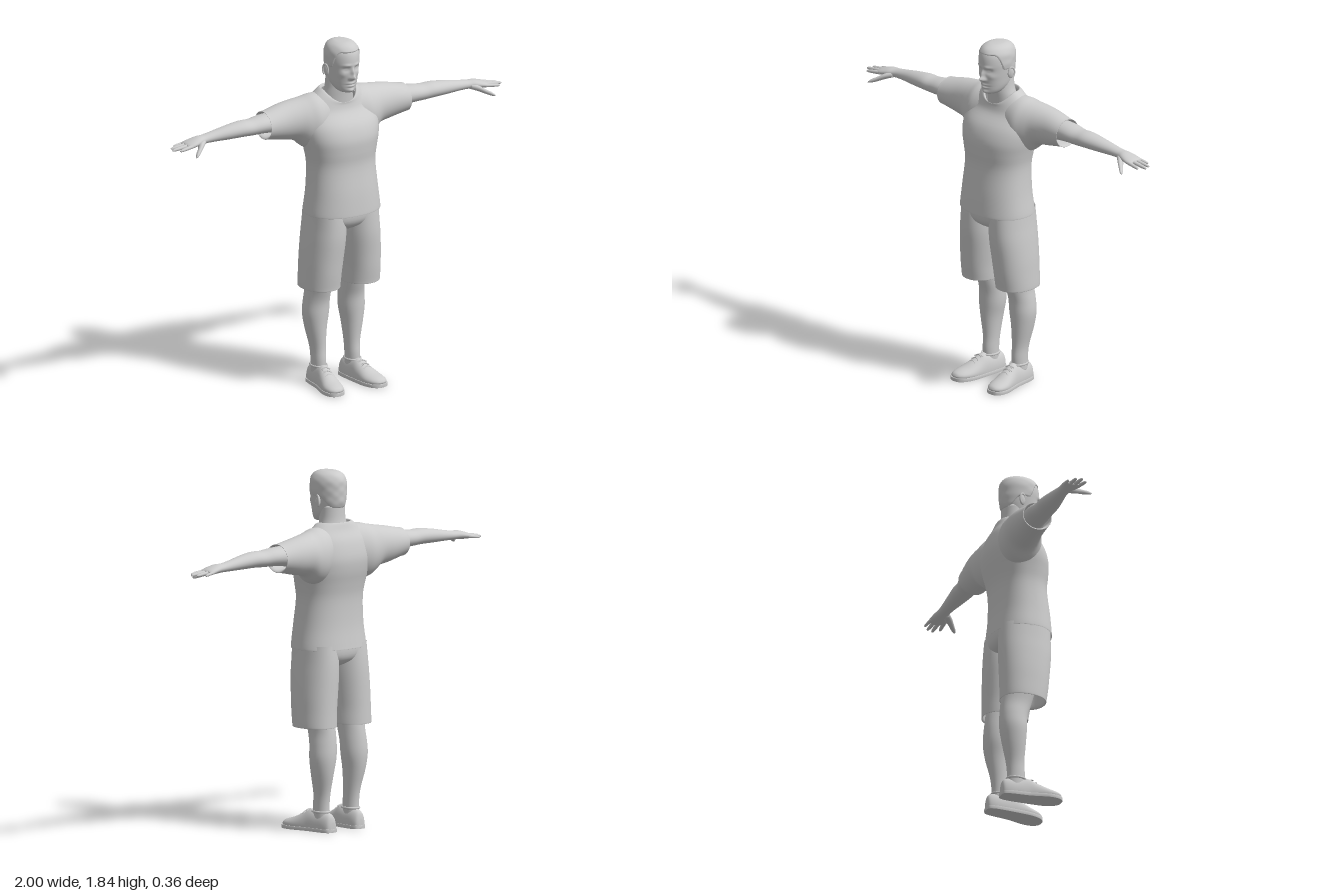
import * as THREE from 'three';

const skin = new THREE.MeshStandardMaterial({ color: 0xcccccc });
const cloth = new THREE.MeshStandardMaterial({ color: 0xcccccc, side: THREE.DoubleSide });

// Component order (a, b, along) of a section for each loft axis
const AXES = { x: [2, 1, 0], y: [0, 2, 1], z: [1, 0, 2] };

function spline(rows, i, f, k) {
  const at = (n) => rows[Math.min(Math.max(n, 0), rows.length - 1)][k] ?? 0;
  const [p, q, r, s] = [at(i - 1), at(i), at(i + 1), at(i + 2)];
  return q + 0.5 * f * (r - p + f * (2 * p - 5 * q + 4 * r - s + f * (3 * (q - r) + s - p)));
}

// Smooth skin over sections [along, centreA, centreB, radiusA, radiusB, frontDrop]
function loft(axis, rows, { seg = 32, sub = 4, n = 2, caps = true, move } = {}) {
  const [A, B, T] = AXES[axis], pos = [], idx = [];
  const steps = (rows.length - 1) * sub;
  const sharp = (v) => Math.sign(v) * Math.abs(v) ** (2 / n);
  for (let k = 0; k <= steps; k++) {
    const i = Math.min(Math.floor(k / sub), rows.length - 2), f = k / sub - i;
    const [t, ca, cb, ra, rb, drop] = [0, 1, 2, 3, 4, 5].map((c) => spline(rows, i, f, c));
    for (let j = 0; j < seg; j++) {
      const u = (j / seg) * Math.PI * 2, p = [0, 0, 0];
      p[A] = ca + ra * sharp(Math.cos(u));
      p[B] = cb + rb * sharp(Math.sin(u));
      p[T] = t - drop * Math.max(0, Math.sin(u)) ** 1.5;
      pos.push(...p);
      if (k < steps) {
        const a = k * seg + j, c = k * seg + ((j + 1) % seg);
        idx.push(a, a + seg, c, c, a + seg, c + seg);
      }
    }
  }
  if (caps) {
    for (const [row, base] of [[rows[0], 0], [rows[rows.length - 1], steps * seg]]) {
      const p = [0, 0, 0], centre = pos.length / 3;
      p[A] = row[1]; p[B] = row[2]; p[T] = row[0];
      pos.push(...p);
      for (let j = 0; j < seg; j++) {
        const a = base + j, c = base + ((j + 1) % seg);
        idx.push(centre, base ? c : a, base ? a : c);
      }
    }
  }
  const g = new THREE.BufferGeometry();
  g.setAttribute('position', new THREE.Float32BufferAttribute(pos, 3));
  g.setIndex(idx);
  if (move) {
    const v = new THREE.Vector3(), at = g.attributes.position;
    for (let i = 0; i < at.count; i++) {
      move(v.fromBufferAttribute(at, i));
      at.setXYZ(i, v.x, v.y, v.z);
    }
  }
  g.computeVertexNormals();
  return g;
}

function mirrored(g) {
  const m = g.clone(), ix = m.index.array;
  const p = m.attributes.position, nn = m.attributes.normal;
  for (let i = 0; i < p.count; i++) { p.setX(i, -p.getX(i)); nn.setX(i, -nn.getX(i)); }
  for (let i = 0; i < ix.length; i += 3) [ix[i], ix[i + 1]] = [ix[i + 1], ix[i]];
  return m;
}

function add(group, name, g, mat = skin) {
  const mesh = new THREE.Mesh(g, mat);
  mesh.name = name;
  group.add(mesh);
}
function addPair(group, name, g, mat) {
  add(group, 'left' + name, g, mat);
  add(group, 'right' + name, mirrored(g), mat);
}

const smooth = THREE.MathUtils.smoothstep;
const clampY = (lo, hi) => (v) => { v.y = THREE.MathUtils.clamp(v.y, lo, hi); };
const tube = (pts, r, n = 16) =>
  new THREE.TubeGeometry(new THREE.CatmullRomCurve3(pts.map((p) => new THREE.Vector3(...p))), n, r, 6);

function buildHead(group) {
  const rows = [
    [1.58, 0, 0.045, 0.022, 0.03], [1.586, 0, 0.038, 0.04, 0.047], [1.603, 0, 0.026, 0.056, 0.064],
    [1.63, 0, 0.01, 0.068, 0.084], [1.67, 0, 0.003, 0.075, 0.098], [1.71, 0, 0.002, 0.08, 0.102],
    [1.75, 0, 0.003, 0.083, 0.104], [1.79, 0, 0.001, 0.08, 0.1], [1.82, 0, 0, 0.065, 0.083],
    [1.836, 0, 0, 0.04, 0.052], [1.84, 0, 0, 0.012, 0.015]];
  // Facial relief: [x, y, height, spreadX, spreadY]
  const relief = [
    [0, 1.668, 0.027, 0.012, 0.011], [0, 1.692, 0.015, 0.009, 0.024], [0.013, 1.663, 0.009, 0.007, 0.007],
    [0.031, 1.712, -0.011, 0.016, 0.011], [0.031, 1.711, 0.006, 0.011, 0.006], [0.029, 1.733, 0.006, 0.02, 0.007],
    [0, 1.634, 0.008, 0.022, 0.005], [0, 1.619, 0.008, 0.018, 0.005], [0, 1.6265, -0.004, 0.024, 0.003],
    [0, 1.595, 0.009, 0.02, 0.011], [0.048, 1.682, 0.004, 0.016, 0.014]];
  const bump = (v, [x, y, h, sx, sy]) => h * Math.exp(-(((v.x - x) / sx) ** 2) - ((v.y - y) / sy) ** 2);
  add(group, 'head', loft('y', rows, { seg: 128, sub: 8, move: (v) => {
    if (v.z < 0.02) return;
    let d = 0;
    for (const r of relief) {
      d += bump(v, r);
      if (r[0]) d += bump(v, [-r[0], ...r.slice(1)]);
    }
    v.z += d;
  } }));
  // Short hair: outside the skull above the hairline, tucked inside below it
  add(group, 'hair', loft('y', rows, { seg: 128, sub: 8, move: (v) => {
    const line = 1.645 + 0.06 * smooth(v.z, -0.08, -0.02) + 0.085 * smooth(v.z, 0.025, 0.075);
    const out = smooth(v.y, line, line + 0.008);
    const s = 0.84 + out * (0.2 + 0.008 * Math.sin(90 * v.x + 50 * v.z) * Math.sin(120 * v.y));
    v.x *= s; v.z *= s; v.y += 0.004 * out;
  } }));
  const ear = new THREE.SphereGeometry(1, 20, 14).scale(0.009, 0.031, 0.018).rotateY(-0.35).translate(0.083, 1.692, -0.014);
  addPair(group, 'Ear', ear);
  const rim = new THREE.TorusGeometry(0.017, 0.004, 8, 24, 4.6).rotateZ(-1.2).rotateY(Math.PI / 2)
    .scale(1, 1.6, 1).rotateY(-0.35).translate(0.089, 1.694, -0.014);
  addPair(group, 'EarRim', rim);
  add(group, 'neck', loft('y', [
    [1.47, 0, -0.045, 0.09, 0.065], [1.55, 0, -0.037, 0.082, 0.065],
    [1.6, 0, -0.03, 0.071, 0.063], [1.67, 0, -0.03, 0.066, 0.06]]));
}

function buildShirt(group) {
  add(group, 'shirtBody', loft('y', [
    [0.965, 0, 0, 0.198, 0.148], [0.937, 0, -0.002, 0.206, 0.157], [0.96, 0, -0.001, 0.205, 0.156],
    [1.06, 0, 0, 0.192, 0.147], [1.19, 0, -0.008, 0.184, 0.139], [1.27, 0, -0.012, 0.195, 0.148],
    [1.34, 0, -0.02, 0.21, 0.156], [1.41, 0, -0.035, 0.214, 0.146], [1.49, 0, -0.05, 0.188, 0.112, 0.02],
    [1.545, 0, -0.042, 0.148, 0.09, 0.04], [1.585, 0, -0.034, 0.099, 0.081, 0.065],
    [1.572, 0, -0.034, 0.088, 0.071, 0.062]], { seg: 64, n: 2.25, caps: false }), cloth);
  addPair(group, 'Sleeve', loft('x', [
    [0.08, -0.05, 1.43, 0.1, 0.135], [0.15, -0.056, 1.42, 0.115, 0.144], [0.2, -0.065, 1.421, 0.108, 0.132],
    [0.25, -0.075, 1.437, 0.097, 0.107], [0.32, -0.08, 1.438, 0.088, 0.094], [0.41, -0.075, 1.438, 0.08, 0.075],
    [0.427, -0.075, 1.438, 0.079, 0.073], [0.412, -0.075, 1.44, 0.07, 0.064], [0.36, -0.075, 1.443, 0.066, 0.06]],
  { seg: 40, caps: false }), cloth);
}

function buildArms(group) {
  addPair(group, 'Arm', loft('x', [
    [0.35, -0.075, 1.447, 0.062, 0.055], [0.45, -0.072, 1.45, 0.064, 0.047], [0.52, -0.068, 1.447, 0.056, 0.042],
    [0.58, -0.067, 1.449, 0.055, 0.041], [0.66, -0.07, 1.444, 0.045, 0.036], [0.74, -0.075, 1.437, 0.035, 0.028],
    [0.8, -0.076, 1.432, 0.032, 0.023], [0.84, -0.072, 1.43, 0.04, 0.023], [0.88, -0.071, 1.424, 0.047, 0.019],
    [0.905, -0.073, 1.42, 0.045, 0.014], [0.915, -0.074, 1.419, 0.036, 0.008]]));
  // Fingers: [root z, tip z, tip x, radius]
  const fingers = [[-0.036, -0.028, 0.972, 0.0105], [-0.061, -0.059, 1, 0.011], [-0.085, -0.089, 0.99, 0.0105], [-0.108, -0.118, 0.955, 0.009]];
  fingers.forEach(([z0, z1, tip, r], i) => {
    const rows = [0, 0.35, 0.7, 0.93, 1].map((f, k) => {
      const w = r * [1.1, 1, 0.9, 0.65, 0.2][k];
      return [0.88 + (tip - 0.88) * f, z0 + (z1 - z0) * f, 1.422 - 0.012 * f, w, w * 0.9];
    });
    addPair(group, 'Finger' + (i + 1), loft('x', rows, { seg: 12 }));
  });
  addPair(group, 'Thumb', loft('x', [
    [0.805, -0.06, 1.426, 0.018, 0.014], [0.84, -0.035, 1.416, 0.023, 0.016], [0.87, -0.006, 1.4, 0.016, 0.013],
    [0.895, 0.015, 1.388, 0.013, 0.01], [0.908, 0.026, 1.381, 0.005, 0.004]], { seg: 14 }));
}

function buildShorts(group) {
  add(group, 'shortsSeat', loft('y', [
    [0.84, 0, -0.01, 0.05, 0.06], [0.87, 0, -0.01, 0.14, 0.115], [0.91, 0, -0.009, 0.19, 0.138],
    [0.98, 0, -0.008, 0.192, 0.14]], { seg: 48, n: 2.25 }), cloth);
  addPair(group, 'ShortsLeg', loft('y', [
    [0.62, 0.118, -0.026, 0.085, 0.106], [0.555, 0.12, -0.027, 0.09, 0.111], [0.538, 0.12, -0.027, 0.099, 0.12],
    [0.555, 0.12, -0.026, 0.101, 0.122], [0.62, 0.118, -0.021, 0.101, 0.127], [0.7, 0.113, -0.017, 0.103, 0.132],
    [0.8, 0.105, -0.012, 0.103, 0.138], [0.88, 0.1, -0.01, 0.099, 0.138], [0.96, 0.098, -0.008, 0.094, 0.134]],
  { seg: 40, n: 2.15, caps: false }), cloth);
}

function buildLegs(group) {
  addPair(group, 'Leg', loft('y', [
    [0.06, 0.103, -0.06, 0.036, 0.045], [0.13, 0.103, -0.058, 0.037, 0.047], [0.2, 0.104, -0.064, 0.04, 0.049],
    [0.3, 0.11, -0.073, 0.055, 0.063], [0.38, 0.109, -0.076, 0.068, 0.071], [0.45, 0.105, -0.073, 0.067, 0.073],
    [0.52, 0.102, -0.06, 0.063, 0.08], [0.6, 0.106, -0.045, 0.068, 0.085], [0.7, 0.108, -0.035, 0.075, 0.09]]));
}

function buildShoes(group) {
  // Stations along the foot: [z, x centre, top height, half width]
  const foot = [[-0.139, 0.098, 0.05, 0.014], [-0.13, 0.099, 0.085, 0.031], [-0.1, 0.1, 0.1, 0.041], [-0.05, 0.103, 0.104, 0.045],
    [0, 0.107, 0.112, 0.047], [0.04, 0.113, 0.093, 0.051], [0.1, 0.123, 0.064, 0.056], [0.145, 0.129, 0.05, 0.047],
    [0.168, 0.131, 0.04, 0.03], [0.177, 0.131, 0.028, 0.012]];
  addPair(group, 'ShoeUpper', loft('z', foot.map(([z, x, h, w]) => [z, 0.025, x, h - 0.025, w]),
    { seg: 40, move: clampY(0.01, 1) }));
  addPair(group, 'ShoeSole', loft('z', foot.map(([z, x, , w]) => [z * 1.015, 0.01, x, 0.04, w + 0.004]),
    { seg: 40, n: 2.6, move: clampY(0, 0.018) }));
  const cuff = new THREE.TorusGeometry(1, 0.12, 8, 32).rotateX(Math.PI / 2).scale(0.039, 0.05, 0.05).translate(0.103, 0.102, -0.056);
  addPair(group, 'ShoeCuff', cuff);
  // Crossed laces over the instep
  for (let i = 0; i < 4; i++) {
    const z = 0.02 + i * 0.019, y = 0.107 - i * 0.0125, x = 0.111 + i * 0.003;
    for (const s of [-1, 1]) {
      addPair(group, 'Lace' + (i + 1) + (s > 0 ? 'A' : 'B'),
        tube([[x - 0.024, y - 0.009, z - 0.007 * s], [x, y + 0.001, z], [x + 0.024, y - 0.009, z + 0.007 * s]], 0.003));
    }
  }
}

export function createModel() {
  const model = new THREE.Group();
  model.name = 'standingMan';
  const body = new THREE.Group(), arms = new THREE.Group();
  body.name = 'body';
  arms.name = 'arms';
  body.position.x = -0.01;
  buildHead(body);
  buildShirt(body);
  buildShorts(body);
  buildLegs(body);
  buildShoes(body);
  buildArms(arms);
  model.add(body, arms);
  return model;
}
